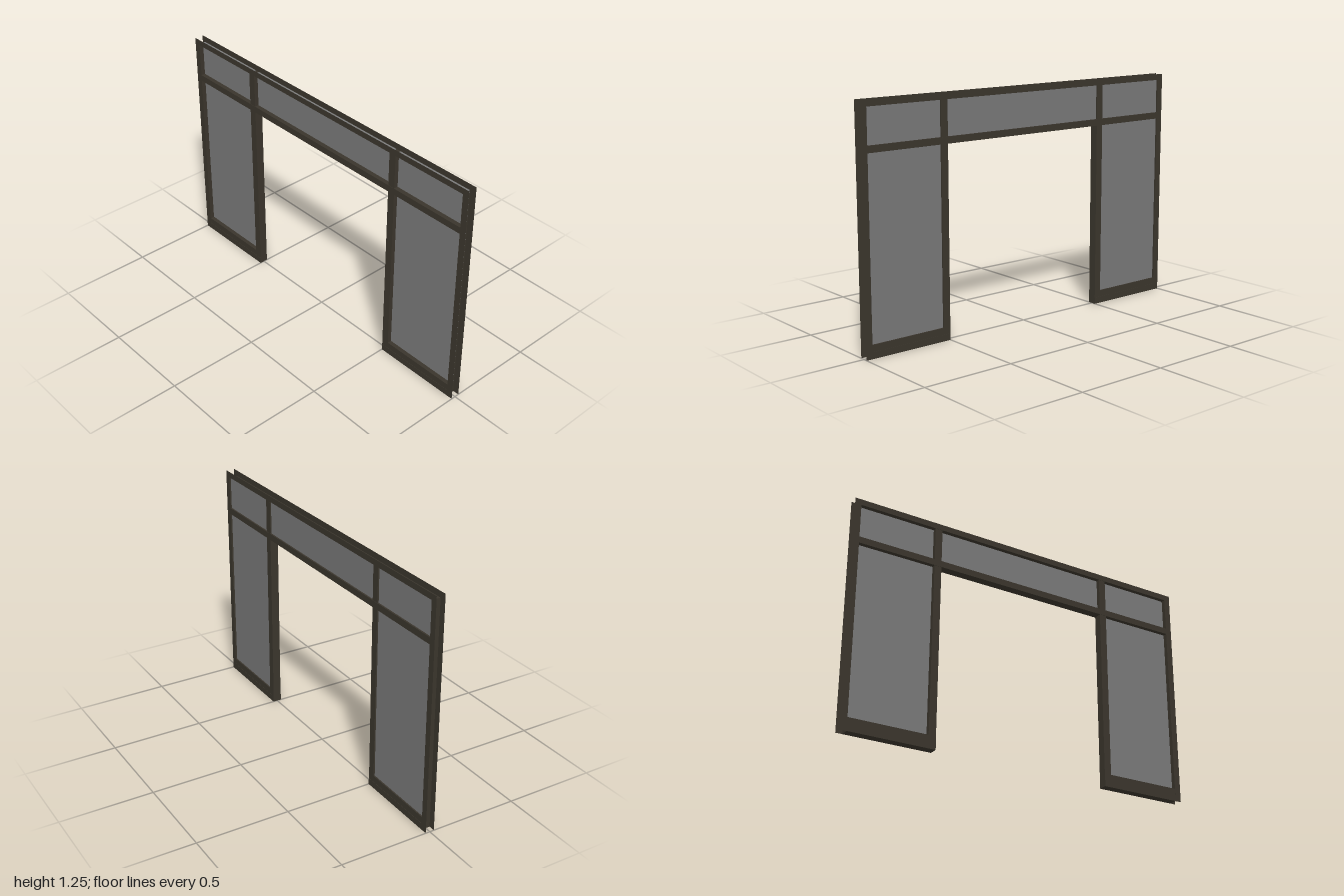
import * as THREE from 'three';

export function createModel() {
  const model = new THREE.Group();
  const bronze = new THREE.MeshStandardMaterial({ color: 0x3a352c, side: THREE.DoubleSide });
  const glass = new THREE.MeshStandardMaterial({ color: 0x787878 });

  const W = 1, H = 1.25;              // outer half width and height
  const innerX = 0.965, innerY = 1.218; // edges of the outer channel's web
  const D = 0.024;                    // half depth

  const add = (name, geometry, material = bronze) => {
    const mesh = new THREE.Mesh(geometry, material);
    mesh.name = name;
    model.add(mesh);
    return mesh;
  };
  // Box given by its limits on each axis
  const box = (name, x0, x1, y0, y1, z0, z1, material) =>
    add(name, new THREE.BoxGeometry(x1 - x0, y1 - y0, z1 - z0), material)
      .position.set((x0 + x1) / 2, (y0 + y1) / 2, (z0 + z1) / 2);

  // Thin face strips of the outer frame, front and back; the channel is open outward
  const strip = new THREE.Shape([
    [-W, 0], [-innerX, 0], [-innerX, innerY], [innerX, innerY],
    [innerX, 0], [W, 0], [W, H], [-W, H],
  ].map(([x, y]) => new THREE.Vector2(x, y)));
  add('outerFrameFront', new THREE.ShapeGeometry(strip)).position.z = D;
  const back = add('outerFrameBack', new THREE.ShapeGeometry(strip));
  back.rotation.y = Math.PI;
  back.position.z = -D;

  // Webs joining the front and back strips
  const head = add('headWeb', new THREE.PlaneGeometry(2 * innerX, 2 * D));
  head.rotation.x = Math.PI / 2;
  head.position.y = innerY;

  // Horizontal rail above the doorway and the sidelights
  box('transomRail', -innerX, innerX, 1.0, 1.035, -D, D);
  box('transomGlass', -0.505, 0.505, 1.03, 1.225, -0.015, 0, glass);

  for (const s of [-1, 1]) {
    const side = s > 0 ? 'left' : 'right';
    // Mirrors a span of x to the current side
    const sideBox = (name, a, b, ...rest) =>
      box(side + name, Math.min(s * a, s * b), Math.max(s * a, s * b), ...rest);

    const web = add(side + 'JambWeb', new THREE.PlaneGeometry(2 * D, innerY));
    web.rotation.y = s * Math.PI / 2;
    web.position.set(s * innerX, innerY / 2, 0);

    // Posts beside the doorway, and their continuation above the rail
    sideBox('DoorPost', 0.5, 0.54, 0.035, 1.0, -0.0225, 0.0225);
    sideBox('TransomPost', 0.5, 0.54, 1.035, innerY, -0.0225, 0.0225);

    // Sill and bottom rail
    sideBox('Sill', 0.5, innerX, 0, 0.035, -D, D);
    sideBox('BottomRail', 0.54, innerX, 0.035, 0.07, -0.0225, 0.0225);

    // Panes set towards the back
    sideBox('SidelightGlass', 0.535, 0.968, 0.065, 1.005, -0.015, 0, glass);
    sideBox('TransomSideGlass', 0.535, 0.968, 1.03, 1.225, -0.015, 0, glass);
  }
  return model;
}
